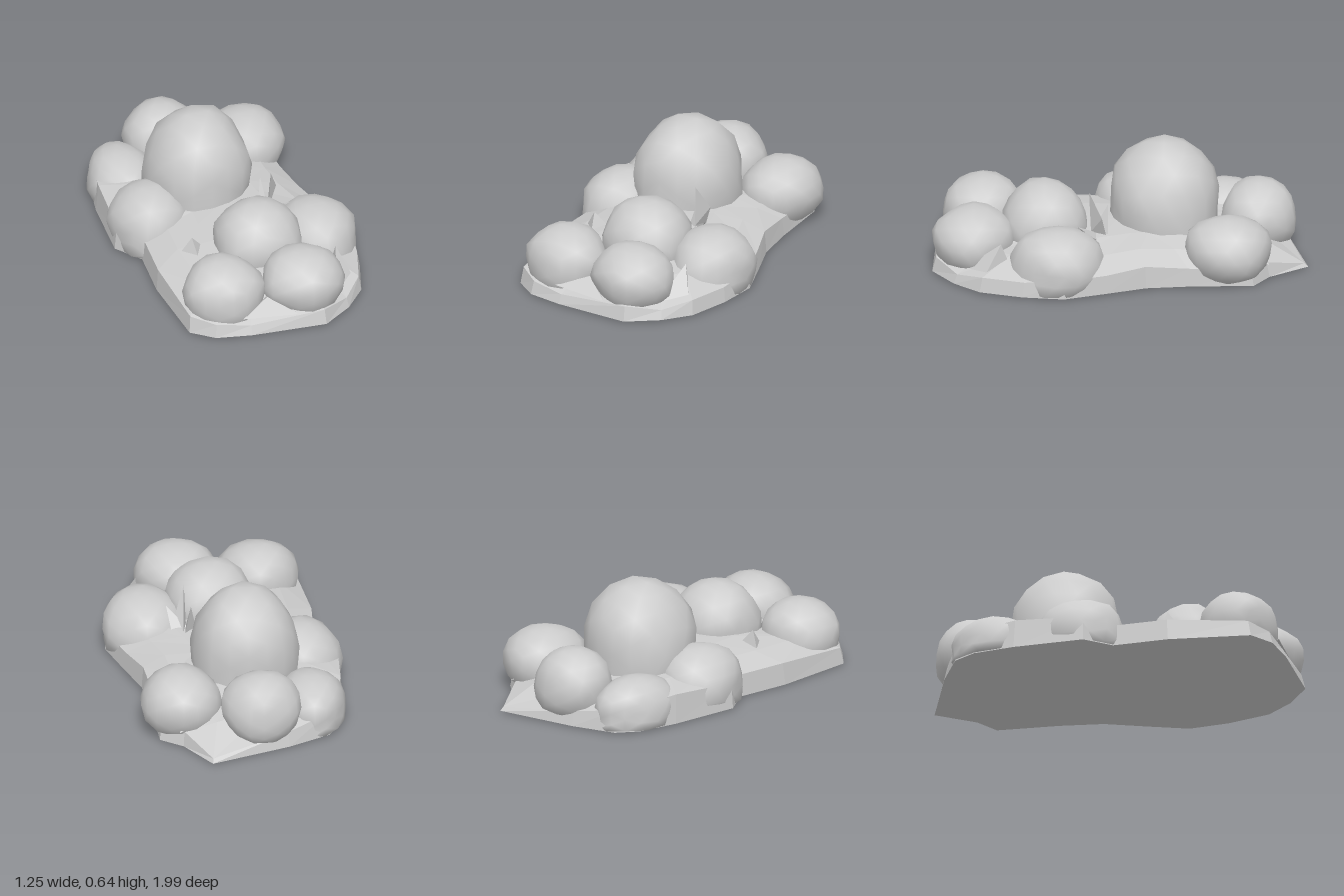
import * as THREE from 'three';
import { mergeVertices } from 'three/addons/utils/BufferGeometryUtils.js';

export function createModel() {
  const model = new THREE.Group();
  const grey = new THREE.MeshStandardMaterial({ color: 0xcccccc, side: THREE.DoubleSide });
  grey.name = 'pale grey';
  const add = (name, geometry) => {
    const mesh = new THREE.Mesh(geometry, grey);
    mesh.name = name;
    model.add(mesh);
  };

  // Rounded boulder: a faceted ball with uneven bulges, cut flat at the ground.
  // skirt keeps the sides upright below the middle.
  function boulder(name, x, z, rx, rz, top, middle, skirt, seed) {
    const ball = new THREE.IcosahedronGeometry(1, 2);
    ball.deleteAttribute('normal');
    ball.deleteAttribute('uv');
    const g = mergeVertices(ball, 1e-4);
    const p = g.attributes.position;
    const v = new THREE.Vector3();
    for (let i = 0; i < p.count; i++) {
      v.fromBufferAttribute(p, i);
      const bump = 1 + 0.035 * Math.sin(4 * v.x + 3 * v.z + seed) + 0.03 * Math.sin(5 * v.y - 4 * v.z + seed * 2.3);
      const r = Math.hypot(v.x, v.z) || 1;
      const spread = v.y < 0 ? 1 + skirt * (Math.min(1 / r, 1.6) - 1) : 1;
      const y = middle + v.y * (top - middle) * (1 + (bump - 1) * 0.4);
      p.setXYZ(i, x + v.x * rx * bump * spread, Math.max(0.025, y), z + v.z * rz * bump * spread);
    }
    g.computeVertexNormals();
    add(name, g);
  }

  // name, x, z, half width, half depth, top, middle height, skirt, seed
  const boulders = [
    ['summitBoulder', -0.09, -0.23, 0.29, 0.30, 0.65, 0.31, 0.8, 1.0],
    ['centreBoulder', 0.05, 0.40, 0.24, 0.23, 0.455, 0.24, 0.6, 2.1],
    ['frontRightBoulder', -0.24, 0.74, 0.22, 0.21, 0.36, 0.18, 0.5, 3.4],
    ['frontLeftBoulder', 0.19, 0.775, 0.22, 0.215, 0.365, 0.19, 0.3, 4.2],
    ['leftBoulder', 0.40, 0.32, 0.22, 0.25, 0.335, 0.15, 0.8, 5.5],
    ['rightBoulder', -0.40, -0.08, 0.215, 0.24, 0.335, 0.14, 0.8, 0.4],
    ['backLeftBoulder', 0.28, -0.58, 0.215, 0.235, 0.36, 0.18, 0.1, 6.3],
    ['backBoulder', -0.14, -0.73, 0.215, 0.20, 0.40, 0.21, 0.5, 2.8],
    ['backRightBoulder', -0.42, -0.53, 0.18, 0.24, 0.27, 0.12, 0.9, 3.9],
  ];
  boulders.forEach((b) => boulder(...b));

  // Base: outline corners as x, z and shoulder height
  const outline = [
    [0.14, -1.0, 0.04], [0.28, -0.80, 0.1], [0.40, -0.72, 0.1], [0.42, -0.38, 0.12],
    [0.45, -0.15, 0.14], [0.53, 0.06, 0.12], [0.61, 0.28, 0.12], [0.59, 0.50, 0.1],
    [0.53, 0.73, 0.1], [0.42, 0.87, 0.07], [0.26, 0.99, 0.1], [-0.15, 0.98, 0.07],
    [-0.34, 0.95, 0.09], [-0.46, 0.86, 0.11], [-0.51, 0.42, 0.14], [-0.50, 0.12, 0.14],
    [-0.61, -0.02, 0.16], [-0.60, -0.40, 0.18], [-0.57, -0.62, 0.16], [-0.50, -0.74, 0.14],
    [-0.28, -0.85, 0.1],
  ];
  const n = outline.length;
  const points = [];
  const faces = [];
  const rings = [
    ([x, z]) => [x, 0.02, z],
    ([x, z, h]) => [x * 0.98, h, z * 0.98],
    ([x, z, h]) => [x * 0.72, 0.13 + h * 0.45, z * 0.78],
    ([x, z]) => [x * 0.4, 0.22, z * 0.4],
  ];
  rings.forEach((ring) => outline.forEach((o) => points.push(...ring(o))));
  points.push(0, 0.23, 0, 0, 0.012, 0);
  const crown = rings.length * n, under = crown + 1;
  for (let i = 0; i < n; i++) {
    const j = (i + 1) % n;
    for (let k = 0; k < rings.length - 1; k++) {
      const a = k * n + i, b = k * n + j;
      faces.push(a, a + n, b, b, a + n, b + n);
    }
    faces.push(crown - n + i, crown, crown - n + j, i, j, under);
  }
  const base = new THREE.BufferGeometry();
  base.setAttribute('position', new THREE.Float32BufferAttribute(points, 3));
  base.setIndex(faces);
  const facetedBase = base.toNonIndexed();
  facetedBase.computeVertexNormals();
  add('base', facetedBase);

  // Thin splinters and wedges standing between the boulders
  const splinter = (name, ...corners) => {
    const g = new THREE.BufferGeometry();
    g.setAttribute('position', new THREE.Float32BufferAttribute(corners.flat(), 3));
    g.setIndex([0, 1, 2, 0, 2, 3, 0, 3, 1, 1, 3, 2]);
    const flat = g.toNonIndexed();
    flat.computeVertexNormals();
    add(name, flat);
  };
  splinter('tallSplinter', [0.20, 0.46, 0.16], [0.19, 0.23, 0.15], [0.25, 0.33, 0.09], [0.21, 0.22, 0.07]);
  splinter('shortSplinter', [0.17, 0.38, 0.06], [0.14, 0.22, 0.12], [0.19, 0.22, 0.15], [0.20, 0.22, 0.06]);
  splinter('leaningSplinter', [0.29, 0.30, 0.22], [0.18, 0.22, 0.12], [0.22, 0.22, 0.17], [0.27, 0.21, 0.11]);
  splinter('rightSplinter', [-0.30, 0.28, 0.37], [-0.36, 0.18, 0.35], [-0.28, 0.18, 0.44], [-0.22, 0.18, 0.33]);
  splinter('frontWedge', [-0.03, 0.165, 0.86], [-0.19, 0.11, 0.95], [0.12, 0.09, 0.96], [0.0, 0.08, 0.7]);
  splinter('frontLeftWedge', [0.42, 0.25, 0.62], [0.35, 0.04, 0.88], [0.52, 0.03, 0.74], [0.40, 0.06, 0.55]);
  splinter('backWedge', [0.12, 0.25, -0.5], [0.05, 0.17, -0.66], [0.30, 0.10, -0.80], [0.24, 0.18, -0.42]);

  return model;
}
